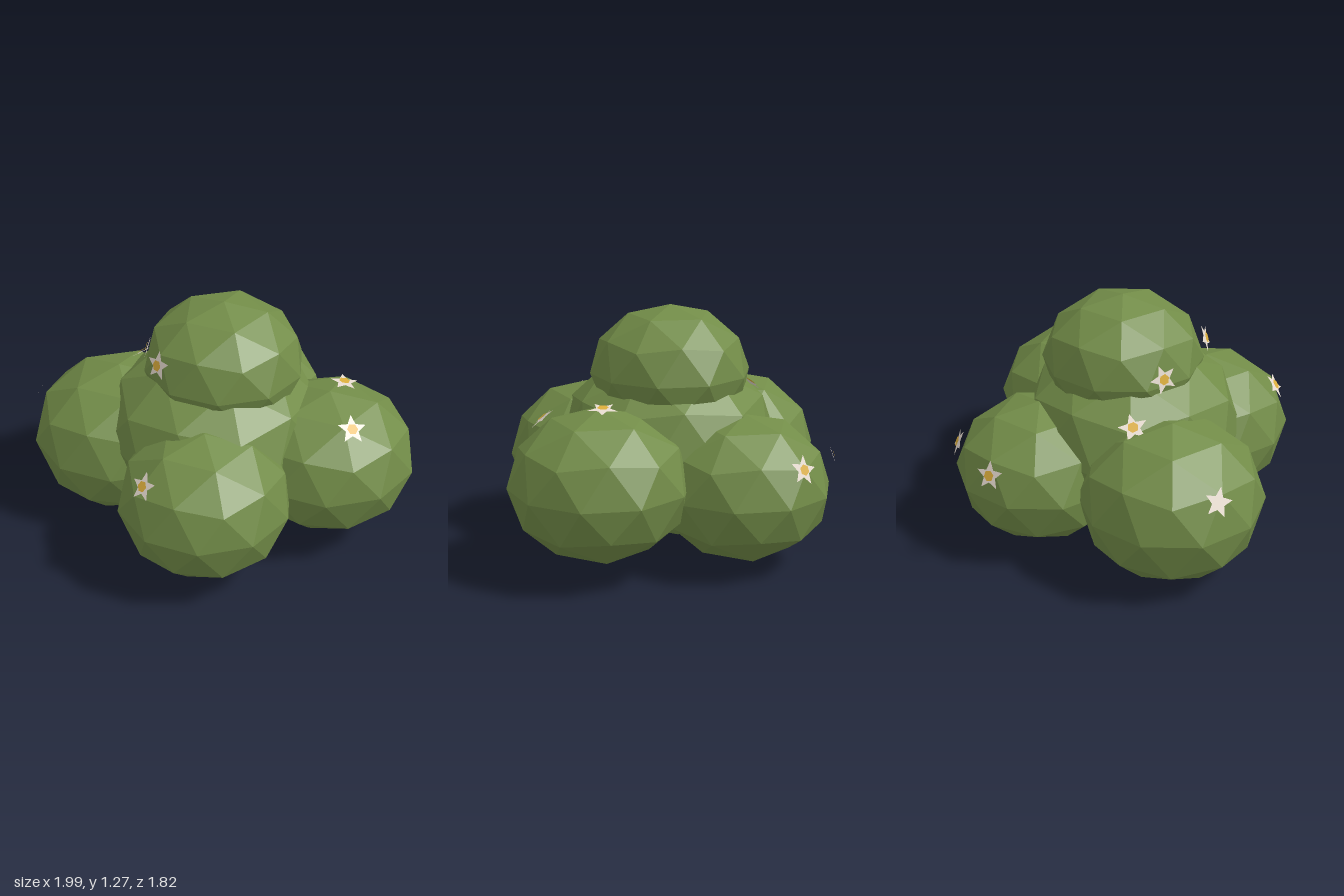
import * as THREE from 'three';

const leafGreen = new THREE.MeshStandardMaterial({ color: 0x728c48, flatShading: true });
const petalCream = new THREE.MeshStandardMaterial({ color: 0xeee2d6, side: THREE.DoubleSide });
const pollenGold = new THREE.MeshStandardMaterial({ color: 0xdcae3c, side: THREE.DoubleSide });

// Leaf clumps: name, centre, horizontal radius, vertical radius
const CLUMPS = [
  ['middleClump', [-0.02, 0.55, 0.01], 0.57, 0.49],
  ['topClump', [0.02, 0.93, -0.02], 0.41, 0.34],
  ['leftClump', [0.56, 0.46, 0.09], 0.455, 0.38],
  ['rightClump', [-0.53, 0.41, -0.11], 0.465, 0.41],
  ['frontClump', [-0.04, 0.43, 0.47], 0.44, 0.39],
  ['backClump', [0.1, 0.4, -0.47], 0.44, 0.37],
];

// Flowers: position, facing direction
const FLOWERS = [
  [[-0.28, 1.07, 0.27], [-0.3, 0.14, 0.3]],
  [[-0.31, 0.68, 0.72], [-0.27, 0.25, 0.25]],
  [[0.67, 0.79, 0.34], [0.11, 0.33, 0.25]],
  [[0.63, 0.86, 0.03], [0.05, 0.4, -0.03]],
  [[-0.96, 0.62, -0.16], [0.43, -0.22, 0.05]],
  [[-0.43, 0.8, -0.27], [-0.25, 0.4, -0.2]],
  [[0.27, 0.58, -0.85], [0.17, 0.18, -0.37]],
  [[-0.08, 0.565, -0.87], [-0.18, 0.16, -0.39]],
  [[-0.37, 0.97, -0.05], [-0.4, 0.1, -0.03]],
];

// Faceted ball with a corner at each pole
function clumpGeometry() {
  const g = new THREE.IcosahedronGeometry(1, 1);
  g.rotateZ(-Math.atan(2 / (1 + Math.sqrt(5))));
  g.computeVertexNormals();
  return g;
}

// Five-pointed blossom outline
function starGeometry(outer, inner) {
  const points = [];
  for (let i = 0; i < 10; i++) {
    const a = Math.PI / 2 + (i * Math.PI) / 5;
    const r = i % 2 ? inner : outer;
    points.push(new THREE.Vector2(r * Math.cos(a), r * Math.sin(a)));
  }
  return new THREE.ShapeGeometry(new THREE.Shape(points));
}

export function createModel() {
  const bush = new THREE.Group();
  bush.name = 'floweringBush';

  const ball = clumpGeometry();
  for (const [name, centre, r, ry] of CLUMPS) {
    const clump = new THREE.Mesh(ball, leafGreen);
    clump.name = name;
    clump.position.set(...centre);
    clump.scale.set(r, ry, r);
    bush.add(clump);
  }

  const star = starGeometry(0.075, 0.034);
  const disc = new THREE.CircleGeometry(0.028, 6);
  const forward = new THREE.Vector3(0, 0, 1);
  FLOWERS.forEach(([position, facing], i) => {
    const flower = new THREE.Group();
    flower.name = `flower${i + 1}`;
    const petals = new THREE.Mesh(star, petalCream);
    petals.name = 'petals';
    const heart = new THREE.Mesh(disc, pollenGold);
    heart.name = 'flowerCentre';
    heart.position.z = 0.008;
    flower.add(petals, heart);
    flower.position.set(...position);
    flower.quaternion.setFromUnitVectors(forward, new THREE.Vector3(...facing).normalize());
    bush.add(flower);
  });

  return bush;
}
